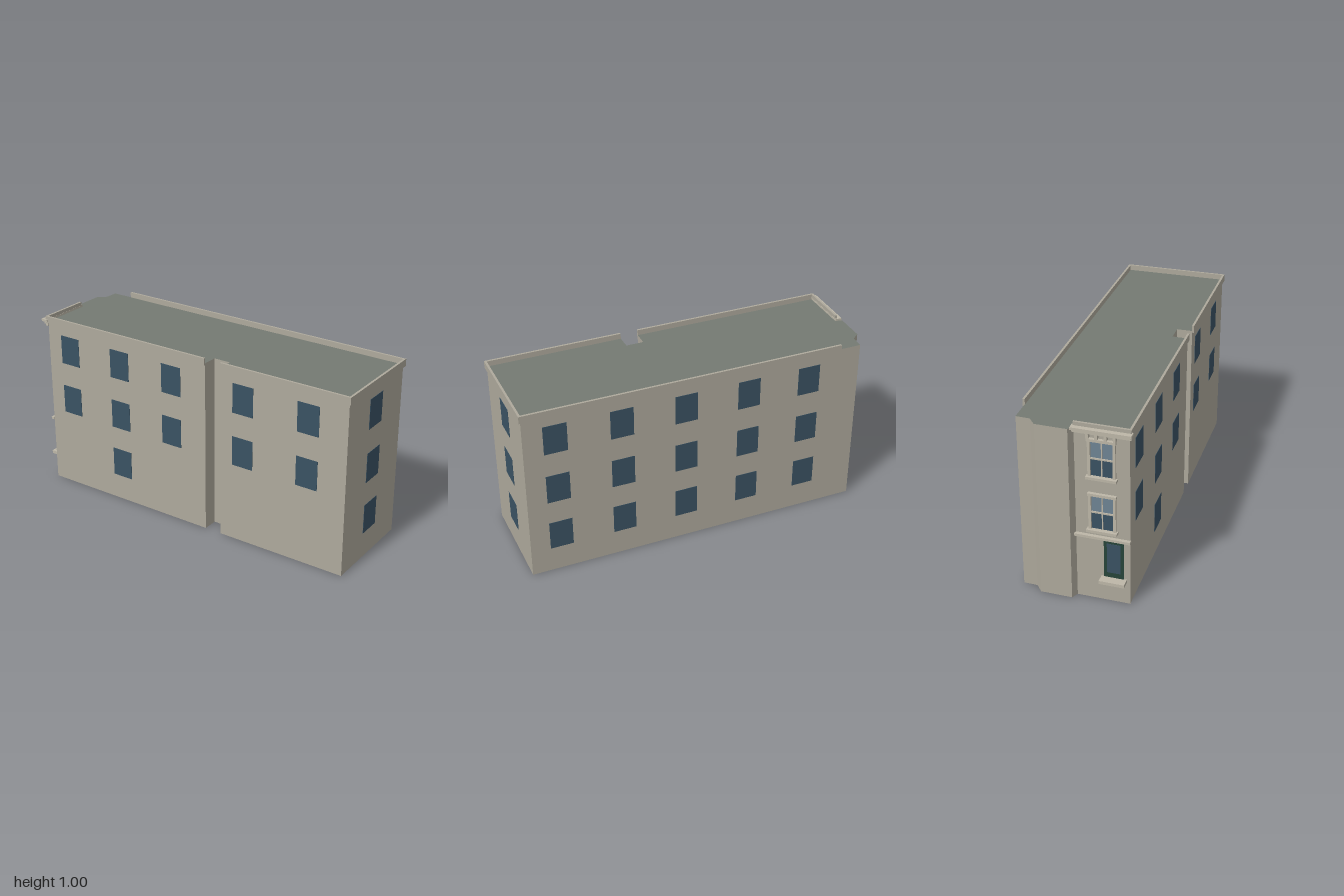
import * as THREE from 'three';

const mat = (color) => new THREE.MeshStandardMaterial({ color, roughness: 1, flatShading: true });
const stone = mat(0xaea99c), trim = mat(0xbdb7a8), roofGrey = mat(0x747a72);
const glass = mat(0x3a5263), paleGlass = mat(0x6f8494), doorGreen = mat(0x27443a);

// Footprint corners [x, z], counter-clockwise seen from above, starting at the front
const FOOTPRINT = [
  [-0.123, 0.988], [0.433, 0.893], [0.138, -0.972], [0.066, -0.963], [0.024, -1.0],
  [-0.14, -0.976], [-0.152, -0.938], [-0.425, -0.897],
  [-0.257, 0.157], [-0.175, 0.145], [-0.16, 0.24], [-0.242, 0.254],
];
const [FL, FR, BR, , , , FACADE_A, BL, NOTCH_A, , , NOTCH_B] = FOOTPRINT;
const ROOF = 0.97;
const FLOORS = [0.227, 0.523, 0.822]; // window centre heights

function box(parent, name, material, x, y, z, w, h, d) {
  const m = new THREE.Mesh(new THREE.BoxGeometry(w, h, d), material);
  m.name = name;
  m.position.set(x, y, z);
  parent.add(m);
  return m;
}

// Group whose x runs along a wall from a to b and whose z points outward
function wallFrame(parent, name, a, b) {
  const g = new THREE.Group();
  g.name = name;
  g.position.set(a[0], 0, a[1]);
  g.rotation.y = Math.atan2(a[1] - b[1], b[0] - a[0]);
  g.userData.length = Math.hypot(b[0] - a[0], b[1] - a[1]);
  parent.add(g);
  return g;
}

function prism(name, y, height, materials) {
  const shape = new THREE.Shape(FOOTPRINT.map(([x, z]) => new THREE.Vector2(x, -z)));
  const geo = new THREE.ExtrudeGeometry(shape, { depth: height, bevelEnabled: false });
  geo.rotateX(-Math.PI / 2);
  geo.translate(0, y, 0);
  const m = new THREE.Mesh(geo, materials);
  m.name = name;
  return m;
}

// Parapet band, optionally wrapping past the start or end corner
function parapet(frame, from, to, wrapA, wrapB) {
  const a = from - (wrapA ? 0.01 : 0), b = to + (wrapB ? 0.01 : 0);
  box(frame, 'parapet', stone, (a + b) / 2, 0.98, 0.004, b - a, 0.04, 0.012);
}

function plainWindow(frame, x, y, w) {
  box(frame, 'window', glass, x, y, 0, w, 0.165, 0.004);
}

// Sash window with surround, sill, hood and two-by-two panes
function sashWindow(frame, x, y) {
  const g = new THREE.Group();
  g.name = 'sashWindow';
  g.position.set(x, y, 0);
  frame.add(g);
  const w = 0.115, h = 0.19;
  box(g, 'upperPanes', paleGlass, 0, h / 4, 0, w, h / 2, 0.006);
  box(g, 'lowerPanes', glass, 0, -h / 4, 0, w, h / 2, 0.006);
  for (const s of [-1, 1]) box(g, 'jamb', trim, s * (w / 2 + 0.005), 0, 0.004, 0.014, h, 0.018);
  box(g, 'head', trim, 0, h / 2 + 0.006, 0.006, w + 0.03, 0.014, 0.022);
  box(g, 'sill', trim, 0, -h / 2 - 0.007, 0.01, w + 0.04, 0.014, 0.032);
  box(g, 'meetingRail', trim, 0, 0, 0.003, w, 0.008, 0.012);
  box(g, 'glazingBar', trim, 0, 0, 0.002, 0.006, h, 0.01);
}

export function createModel() {
  const model = new THREE.Group();
  model.name = 'building';
  model.add(prism('walls', 0, 0.96, stone));
  model.add(prism('roof', 0.96, ROOF - 0.96, [roofGrey, stone]));

  // Front wall
  const front = wallFrame(model, 'frontWall', FL, FR);
  const frontLen = front.userData.length;
  parapet(front, 0, frontLen, true, true);
  for (const y of FLOORS) plainWindow(front, frontLen / 2, y, 0.131);

  // Long wall on the +x side: the parapet stops short of the back corner
  const long = wallFrame(model, 'leftWall', FR, BR);
  const alongLong = (z) => ((FR[1] - z) / (FR[1] - BR[1])) * long.userData.length;
  parapet(long, 0, alongLong(-0.855), true, false);
  for (const z of [0.725, 0.375, 0.025, -0.328, -0.675])
    for (const y of FLOORS) plainWindow(long, alongLong(z), y, 0.126);

  // Opposite long wall, split by the light well
  const rear = wallFrame(model, 'rightWallRear', BL, NOTCH_A);
  parapet(rear, 0, rear.userData.length, true, false);
  [0.152, 0.499, 0.846].forEach((x, i) => {
    FLOORS.forEach((y, floor) => {
      if (floor > 0 || i === 1) plainWindow(rear, x, y, 0.125);
    });
  });
  const fore = wallFrame(model, 'rightWallFront', NOTCH_B, FL);
  parapet(fore, 0, fore.userData.length, false, true);
  for (const x of [0.135, 0.52])
    for (const y of FLOORS.slice(1)) plainWindow(fore, x, y, 0.125);

  // Decorated back facade
  const back = wallFrame(model, 'backFacade', FACADE_A, BL);
  const L = back.userData.length, mid = L / 2;
  parapet(back, 0, L, false, true);
  sashWindow(back, mid, 0.815);
  sashWindow(back, mid, 0.515);

  // Cornice with brackets
  box(back, 'corniceTop', trim, mid + 0.004, 0.974, 0.016, L + 0.024, 0.014, 0.038);
  box(back, 'corniceBed', trim, mid + 0.002, 0.96, 0.01, L + 0.012, 0.014, 0.026);
  box(back, 'corniceFillet', trim, mid + 0.003, 0.948, 0.004, L + 0.012, 0.008, 0.014);
  for (let i = 0; i < 4; i++)
    box(back, 'bracket', trim, mid + (i - 1.5) * 0.045, 0.94, 0.01, 0.014, 0.03, 0.022);

  // String course above the entrance
  box(back, 'stringCourse', trim, mid, 0.373, 0.008, L + 0.008, 0.014, 0.022);

  // Raised entrance with its step
  const dx = L * 0.7;
  box(back, 'doorFrame', doorGreen, dx, 0.25, 0, 0.102, 0.215, 0.008);
  box(back, 'doorGlass', glass, dx, 0.258, 0.002, 0.07, 0.17, 0.008);
  box(back, 'doorStep', trim, dx, 0.135, 0.024, 0.13, 0.018, 0.052);
  return model;
}
